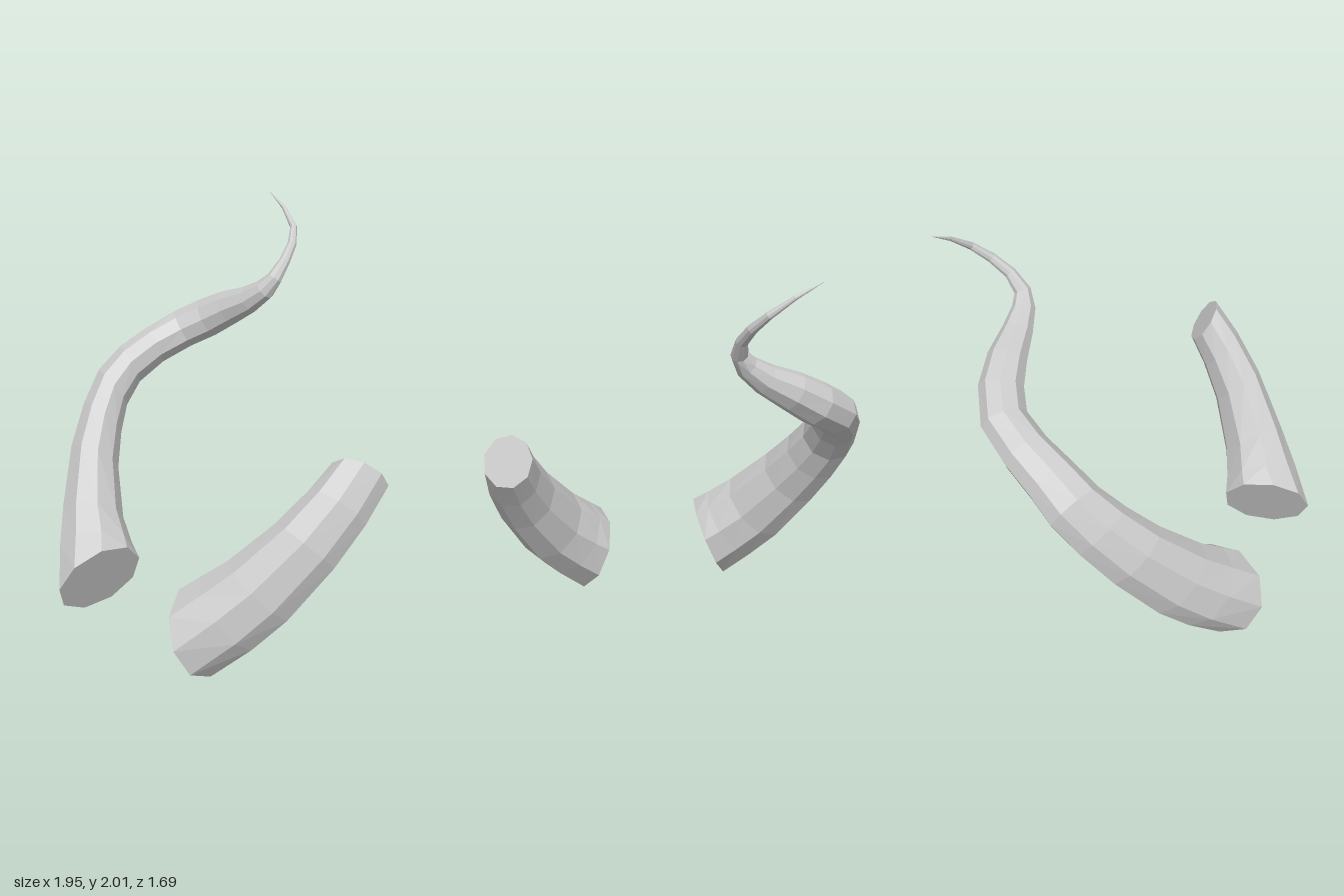
import * as THREE from 'three';

const SIDES = 9;

// Centre line of one horn, root to tip:
// x (outward), y, z, radius, flattening across the horn, lean of the ring
const STATIONS = [
  [0.36, 0.203, 0.605, 0.236, 1, 0],
  [0.475, 0.315, 0.525, 0.222, 0.88, 0],
  [0.59, 0.44, 0.435, 0.21, 0.78, 0.15],
  [0.74, 0.67, 0.275, 0.182, 0.74, 0.3],
  [0.815, 0.84, 0.14, 0.163, 0.74, 0.4],
  [0.852, 0.98, 0.02, 0.147, 0.78, 0.45],
  [0.835, 1.09, -0.1, 0.132, 0.82, 0.3],
  [0.79, 1.175, -0.25, 0.12, 0.88, 0.1],
  [0.71, 1.255, -0.4, 0.115, 0.95, 0],
  [0.58, 1.335, -0.48, 0.11, 1, 0],
  [0.45, 1.412, -0.51, 0.098, 1, 0],
  [0.31, 1.485, -0.522, 0.076, 1, 0],
  [0.215, 1.555, -0.535, 0.058, 1, 0],
  [0.17, 1.62, -0.562, 0.042, 1, 0],
  [0.16, 1.7, -0.63, 0.03, 1, 0],
  [0.18, 1.775, -0.715, 0.025, 1, 0],
  [0.232, 1.85, -0.79, 0.019, 1, 0],
  [0.335, 1.932, -0.83, 0.011, 1, 0],
  [0.455, 2.0, -0.85, 0.001, 1, 0],
];
const BROKEN_AT = 6; // number of stations kept by the snapped horn
const ROOT_NORMAL = new THREE.Vector3(0.89, 0.4, -0.22).normalize();
const FLAT_AXIS = new THREE.Vector3(1, 0, 1).normalize(); // thin direction of the lower horn

// Sweeps a ring along the first `count` stations; side = +1 or -1 mirrors it in x
function hornGeometry(count, side) {
  const centres = STATIONS.map(([x, y, z]) => new THREE.Vector3(x, y, z));
  const positions = [];
  const index = [];
  const put = (p) => positions.push(p.x * side, p.y, p.z);
  const tri = (a, b, c) => (side > 0 ? index.push(a, b, c) : index.push(a, c, b));

  const u = new THREE.Vector3(0.05, 0.01, 0.24); // carried along to avoid twist
  for (let i = 0; i < count; i++) {
    const [, , , radius, flat, lean] = STATIONS[i];
    const next = centres[Math.min(i + 1, centres.length - 1)];
    const t = i === 0 ? ROOT_NORMAL : next.clone().sub(centres[i - 1]).normalize();
    u.addScaledVector(t, -u.dot(t)).normalize();
    const v = new THREE.Vector3().crossVectors(t, u);
    const thin = FLAT_AXIS.clone().addScaledVector(t, -FLAT_AXIS.dot(t)).normalize();
    for (let j = 0; j < SIDES; j++) {
      const a = (j / SIDES) * Math.PI * 2;
      const offset = u.clone().multiplyScalar(radius * Math.cos(a)).addScaledVector(v, radius * Math.sin(a));
      const across = offset.dot(thin);
      offset.addScaledVector(thin, (flat - 1) * across).addScaledVector(t, lean * flat * across);
      put(offset.add(centres[i]));
    }
  }

  // Walls between neighbouring rings
  for (let i = 0; i < count - 1; i++) {
    for (let j = 0; j < SIDES; j++) {
      const k = (j + 1) % SIDES;
      const a = i * SIDES + j, b = i * SIDES + k;
      tri(a, b, b + SIDES);
      tri(a, b + SIDES, a + SIDES);
    }
  }

  // Flat caps at both ends
  const root = count * SIDES, end = root + 1, last = (count - 1) * SIDES;
  put(centres[0]);
  put(centres[count - 1]);
  for (let j = 0; j < SIDES; j++) {
    const k = (j + 1) % SIDES;
    tri(root, k, j);
    tri(end, last + j, last + k);
  }

  const indexed = new THREE.BufferGeometry();
  indexed.setAttribute('position', new THREE.Float32BufferAttribute(positions, 3));
  indexed.setIndex(index);
  const geometry = indexed.toNonIndexed();
  geometry.computeVertexNormals();
  return geometry;
}

export function createModel() {
  const group = new THREE.Group();
  group.name = 'horns';
  const material = new THREE.MeshStandardMaterial({ color: 0xcccccc, flatShading: true });

  const addHorn = (name, count, side) => {
    const horn = new THREE.Mesh(hornGeometry(count, side), material);
    horn.name = name;
    group.add(horn);
  };
  addHorn('rightHorn', STATIONS.length, -1);
  addHorn('leftBrokenHorn', BROKEN_AT, 1);

  return group;
}
